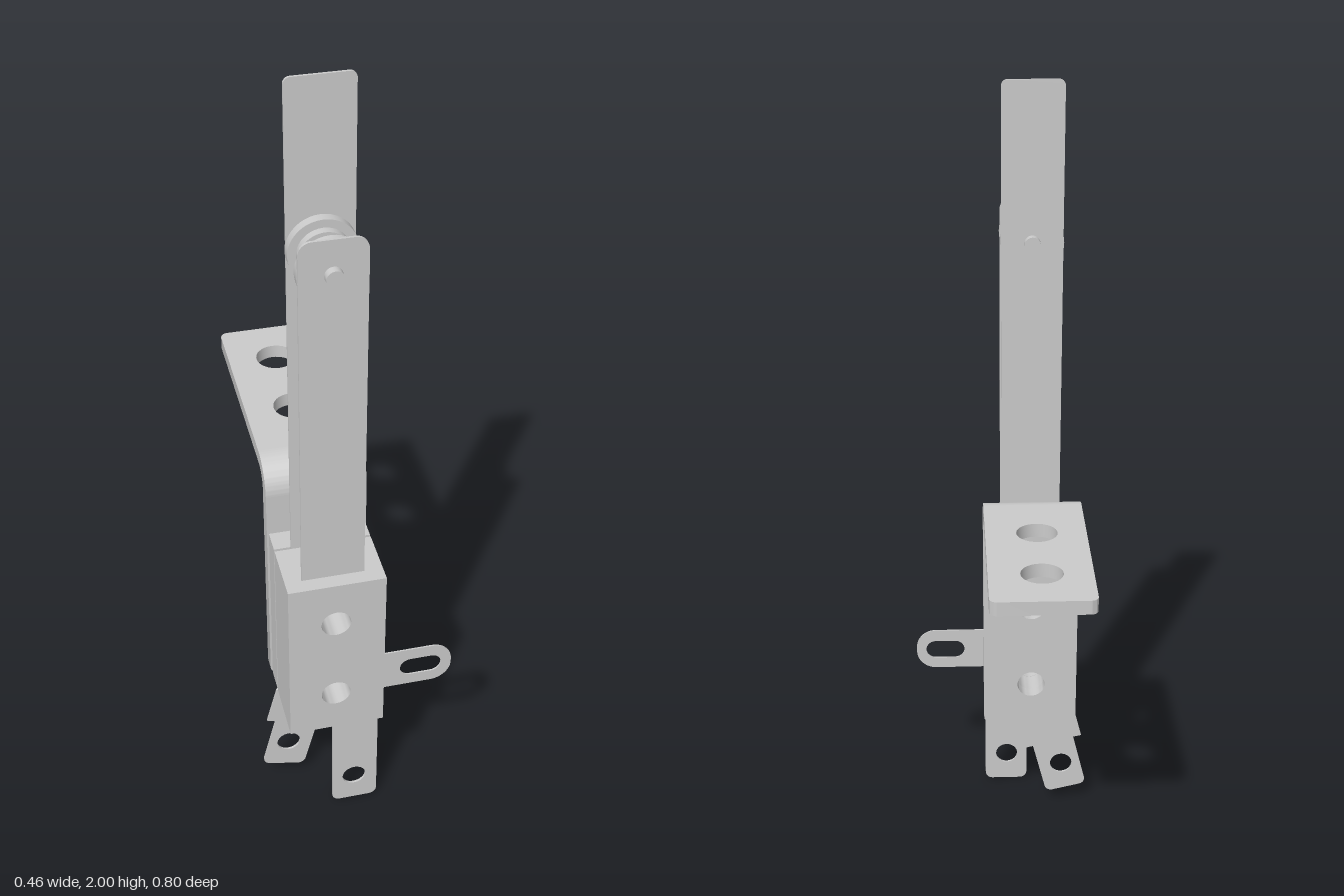
import * as THREE from 'three';
import { toCreasedNormals } from 'three/addons/utils/BufferGeometryUtils.js';

const CX = -0.075; // shared centre line of the stack
const BOLTS = [[CX, 0.437, 0.036], [CX, 0.67, 0.036]];
const CONTACT_Y = 1.612;

// Closed outline from corners [x, y, radius], radius optional
function outline(corners) {
  const shape = new THREE.Shape();
  const n = corners.length;
  corners.forEach(([x, y, r = 0], i) => {
    const p = new THREE.Vector2(x, y);
    const toward = (c) => new THREE.Vector2(c[0], c[1]).sub(p).setLength(r).add(p);
    const a = toward(corners[(i + n - 1) % n]);
    const b = toward(corners[(i + 1) % n]);
    if (i === 0) shape.moveTo(a.x, a.y); else shape.lineTo(a.x, a.y);
    if (r > 0) {
      // cubic approximation of a round corner
      const k = 0.552;
      const c1 = a.clone().lerp(p, k), c2 = b.clone().lerp(p, k);
      shape.bezierCurveTo(c1.x, c1.y, c2.x, c2.y, b.x, b.y);
    }
  });
  shape.closePath();
  return shape;
}

function rect(x0, y0, x1, y1, rBottom = 0, rTop = 0) {
  return outline([[x0, y0, rBottom], [x1, y0, rBottom], [x1, y1, rTop], [x0, y1, rTop]]);
}

function drill(shape, holes) {
  for (const [x, y, r] of holes) {
    shape.holes.push(new THREE.Path().absarc(x, y, r, 0, Math.PI * 2, true));
  }
  return shape;
}

function extrude(shape, depth) {
  const geo = new THREE.ExtrudeGeometry(shape, { depth, bevelEnabled: false, curveSegments: 16 });
  return toCreasedNormals(geo, 0.5);
}

export function createModel() {
  const group = new THREE.Group();
  const material = new THREE.MeshStandardMaterial({ color: 0xcccccc });
  const add = (name, geo, parent = group) => {
    const mesh = new THREE.Mesh(geo, material);
    mesh.name = name;
    parent.add(mesh);
    return mesh;
  };
  // Plate in the xy plane between two depths
  const plate = (name, shape, z0, z1, parent) =>
    add(name, extrude(shape, z1 - z0).translate(0, 0, z0), parent);

  // Insulating blocks
  const block = () => drill(rect(-0.19, 0.32, 0.045, 0.79), BOLTS);
  plate('frontBlock', block(), 0.25, 0.4);
  plate('rearBlock', block(), 0.185, 0.243);

  // L-shaped mounting bracket: upright, bend, shelf
  const bracket = new THREE.Group();
  bracket.name = 'bracket';
  group.add(bracket);
  const x0 = -0.195, x1 = 0.05, bendZ = 0.105, bendY = 0.903, rOut = 0.08, rIn = 0.045;
  plate('bracketUpright', drill(rect(x0, 0.32, x1, bendY, 0.018), BOLTS), bendZ + rIn, bendZ + rOut, bracket);
  const bend = new THREE.Shape();
  bend.absarc(bendZ, bendY, rOut, 0, Math.PI / 2, false);
  bend.absarc(bendZ, bendY, rIn, Math.PI / 2, 0, true);
  bend.closePath();
  add('bracketBend', extrude(bend, x1 - x0).rotateY(-Math.PI / 2).translate(x1, 0, 0), bracket);
  const shelf = drill(rect(x0, -bendZ, x1, 0.4, 0, 0.018), [[CX, 0.265, 0.05], [CX, 0.052, 0.05]]);
  add('bracketShelf', extrude(shelf, rOut - rIn).rotateX(-Math.PI / 2).translate(0, bendY + rIn, 0), bracket);

  // Front contact blade with its straight solder terminal
  plate('frontBlade', drill(outline([
    [-0.075, 0, 0.02], [0.042, 0, 0.02], [0.042, 0.34], [0, 0.34],
    [0, 1.695, 0.03], [-0.15, 1.695, 0.03], [-0.15, 0.34], [-0.075, 0.34],
  ]), [...BOLTS, [-0.018, 0.083, 0.03]]), 0.358, 0.364);

  // Rear contact blade with its slanted, stepped terminal
  plate('rearBlade', drill(outline([
    [-0.235, 0.056, 0.018], [-0.125, 0.03, 0.018], [-0.087, 0.18], [-0.065, 0.175],
    [-0.033, 0.32], [0, 0.34], [0, 2, 0.015], [-0.15, 2, 0.015],
    [-0.15, 0.34], [-0.193, 0.32], [-0.22, 0.213], [-0.198, 0.208],
  ]), [...BOLTS, [-0.165, 0.123, 0.03]]), 0.243, 0.249);

  // Side solder tab with a slotted eye
  const tab = rect(0, 0.377, 0.23, 0.493);
  const tabOutline = outline([[0, 0.377], [0.23, 0.377, 0.052], [0.23, 0.493, 0.052], [0, 0.493]]);
  const slot = new THREE.Path();
  slot.absarc(0.125, 0.434, 0.026, -Math.PI / 2, Math.PI / 2, true);
  slot.absarc(0.178, 0.434, 0.026, Math.PI / 2, -Math.PI / 2, true);
  slot.closePath();
  tabOutline.holes.push(slot);
  plate('sideTab', tabOutline, 0.349, 0.353);

  // Facing contact buttons: stepped disc inside, rivet outside
  const disc = (name, r, z0, z1) => add(name,
    new THREE.CylinderGeometry(r, r, Math.abs(z1 - z0), 40)
      .rotateX(Math.PI / 2).translate(CX, CONTACT_Y, (z0 + z1) / 2));
  for (const [side, z, dir] of [['front', 0.361, -1], ['rear', 0.246, 1]]) {
    disc(side + 'ContactBase', 0.077, z, z + dir * 0.026);
    disc(side + 'ContactFace', 0.058, z + dir * 0.024, z + dir * 0.045);
    disc(side + 'ContactRivet', 0.02, z, z - dir * 0.022);
  }

  return group;
}
